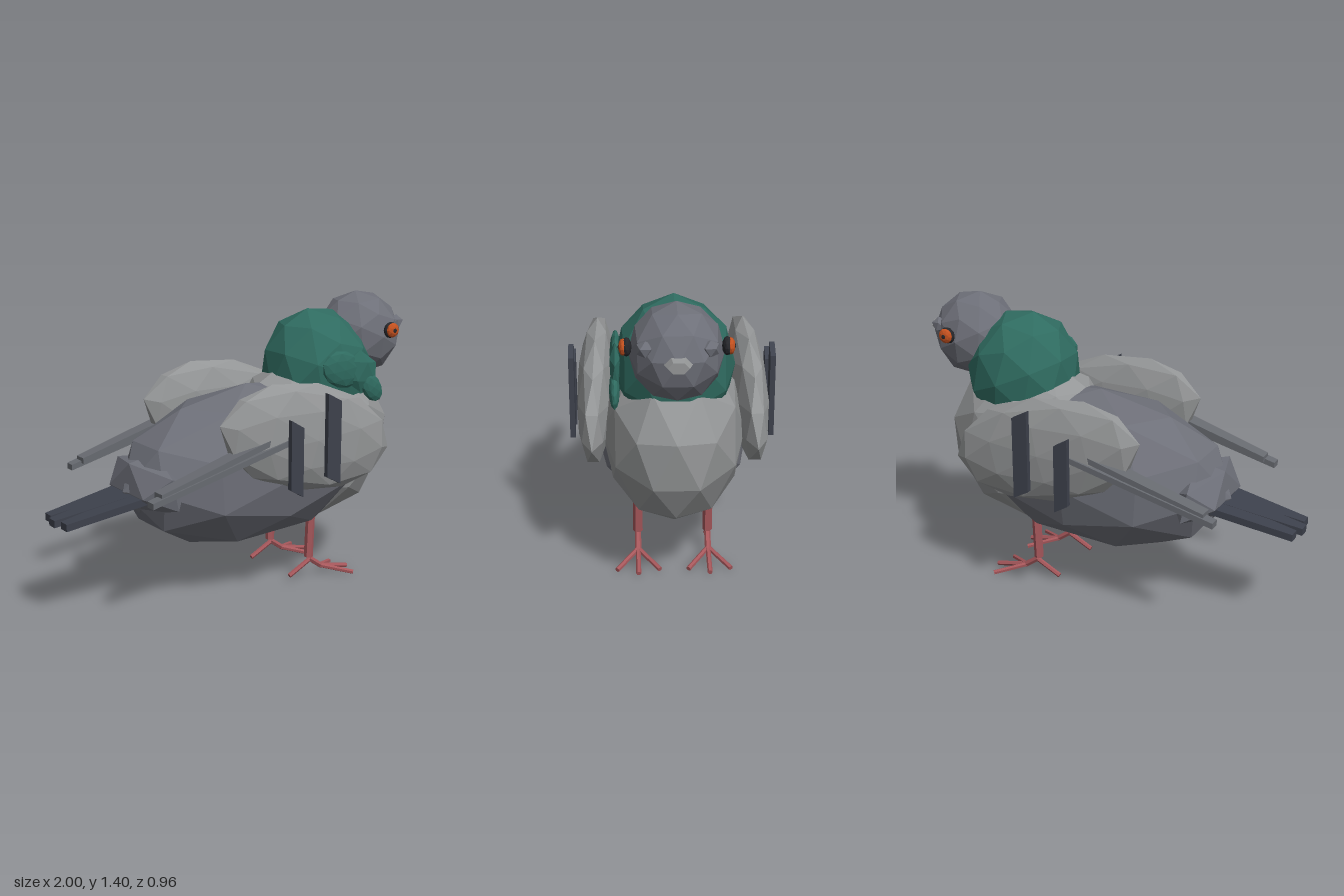
import * as THREE from 'three';

const mat = (name, color) => {
  const m = new THREE.MeshStandardMaterial({ color, flatShading: true });
  m.name = name;
  return m;
};

export function createModel() {
  const bird = new THREE.Group();
  bird.name = 'bird';
  const slate = mat('slate grey', 0x6d6f78);
  const pale = mat('pale grey', 0x949697);
  const green = mat('neck green', 0x2f6b60);
  const dark = mat('dark feather', 0x3d414c);
  const quill = mat('wing feather grey', 0x676a70);
  const pink = mat('leg pink', 0xa6575b);
  const orange = mat('eye orange', 0xc4511f);
  const black = mat('eye black', 0x26272b);

  const add = (name, geo, material, parent = bird) => {
    const mesh = new THREE.Mesh(geo, material);
    mesh.name = name;
    parent.add(mesh);
    return mesh;
  };

  // Faceted ellipsoid: centre, radii, tilt about z
  const blob = (name, material, c, r, tilt = 0, detail = 1) => {
    const mesh = add(name, new THREE.IcosahedronGeometry(1, detail), material);
    mesh.position.set(...c);
    mesh.scale.set(...r);
    mesh.rotation.z = tilt;
    return mesh;
  };

  // Round bar between two points
  const rod = (name, a, b, radius, parent) => {
    const p = new THREE.Vector3(...a), q = new THREE.Vector3(...b);
    const d = q.clone().sub(p);
    const mesh = add(name, new THREE.CylinderGeometry(radius, radius, d.length(), 6), pink, parent);
    mesh.position.copy(p).add(q).multiplyScalar(0.5);
    mesh.quaternion.setFromUnitVectors(new THREE.Vector3(0, 1, 0), d.normalize());
  };

  // Flat feather from base to tip, narrowing towards the tip
  const feather = (name, material, a, b, w0, w1, thick) => {
    const dx = b[0] - a[0], dy = b[1] - a[1];
    const geo = new THREE.BoxGeometry(1, thick, 1);
    const p = geo.attributes.position;
    for (let i = 0; i < p.count; i++) {
      const t = p.getX(i) + 0.5; // 0 at tip, 1 at base
      const w = w1 + (w0 - w1) * t;
      const z = b[2] + (a[2] - b[2]) * t + p.getZ(i) * w;
      p.setXYZ(i, b[0] - dx * t, b[1] - dy * t + p.getY(i), z);
    }
    geo.computeVertexNormals();
    add(name, geo, material);
  };

  // Body masses
  blob('body', slate, [0.085, 0.612, 0], [0.72, 0.393, 0.38], 0.06);
  blob('rump', slate, [-0.5, 0.59, 0], [0.14, 0.15, 0.3], 0.2, 0);
  blob('breast', pale, [0.435, 0.69, 0], [0.447, 0.425, 0.328], 0.25);
  blob('neck', green, [0.49, 1.03, 0], [0.285, 0.315, 0.272], 0.2);
  blob('head', slate, [0.755, 1.19, 0], [0.217, 0.215, 0.205], 0.1);

  // Ruffled feathers on one side of the neck
  blob('neckRuffle', green, [0.45, 1.07, 0.26], [0.125, 0.09, 0.026], -0.3);
  blob('neckRuffle', green, [0.56, 1.05, 0.262], [0.12, 0.1, 0.026], -0.6, 0);
  blob('neckRuffle', green, [0.63, 0.965, 0.265], [0.09, 0.055, 0.024], -0.9);

  // Beak: blunt flattened cone
  const beak = add('beak', new THREE.CylinderGeometry(0.045, 0.075, 0.1, 6), pale);
  beak.rotation.z = -Math.PI / 2;
  beak.scale.x = 0.6;
  beak.position.set(0.95, 1.205, 0);

  // Tail
  for (const s of [-1, 0, 1]) {
    feather('tailFeather', dark, [-0.5, 0.565, s * 0.08], [s ? -0.98 : -1, 0.485, s * 0.08],
      0.14, 0.055, 0.034);
  }

  for (const s of [-1, 1]) {
    const side = s > 0 ? 'left' : 'right';

    // Wing with trailing feathers
    const wing = blob(side + 'Wing', pale, [0.17, 0.793, s * 0.355], [0.5, 0.26, 0.09], -0.23);
    wing.rotation.y = -s * 0.03;
    feather(side + 'WingFeather', quill, [0.0, 0.8, s * 0.39], [-0.71, 0.615, s * 0.385], 0.09, 0.05, 0.028);
    feather(side + 'WingFeather', quill, [-0.06, 0.82, s * 0.375], [-0.66, 0.645, s * 0.37], 0.09, 0.065, 0.028);

    // Slanted wing bars
    for (const [x0, x1, top, bottom] of [[-0.015, 0.055, 0.92, 0.59], [0.195, 0.273, 1.02, 0.62]]) {
      const bar = new THREE.Shape([
        new THREE.Vector2(x0, top), new THREE.Vector2(x0, bottom),
        new THREE.Vector2(x1, bottom - 0.042), new THREE.Vector2(x1, top - 0.042),
      ]);
      const geo = new THREE.ExtrudeGeometry(bar, { depth: 0.025, bevelEnabled: false });
      add(side + 'WingBar', geo, dark).position.z = s * 0.4675 - 0.0125;
    }

    // Eye: dark socket, orange iris, black pupil
    blob(side + 'EyeSocket', black, [0.793, 1.225, s * 0.21], [0.041, 0.041, 0.022]);
    blob(side + 'Iris', orange, [0.795, 1.225, s * 0.224], [0.037, 0.037, 0.02]);
    blob(side + 'Pupil', black, [0.795, 1.225, s * 0.24], [0.012, 0.012, 0.006]);

    // Small ridge in front of the eye
    blob(side + 'Ridge', slate, [0.88, 1.245, s * 0.133], [0.05, 0.04, 0.042], 0.3, 0);

    // Leg and toes
    const leg = new THREE.Group();
    leg.name = side + 'Leg';
    leg.position.z = s * 0.167;
    bird.add(leg);
    rod('shank', [0.34, 0.34, 0], [0.33, 0.11, 0], 0.023, leg);
    rod('foot', [0.335, 0.1, 0], [0.41, 0.047, 0], 0.015, leg);
    rod('backToe', [0.345, 0.098, 0], [0.212, 0.03, 0], 0.012, leg);
    for (const k of [-1, 0, 1]) {
      rod('frontToe', [0.4, 0.05, 0], [k ? 0.54 : 0.575, 0.014, k * 0.1], 0.012, leg);
    }
  }
  return bird;
}
